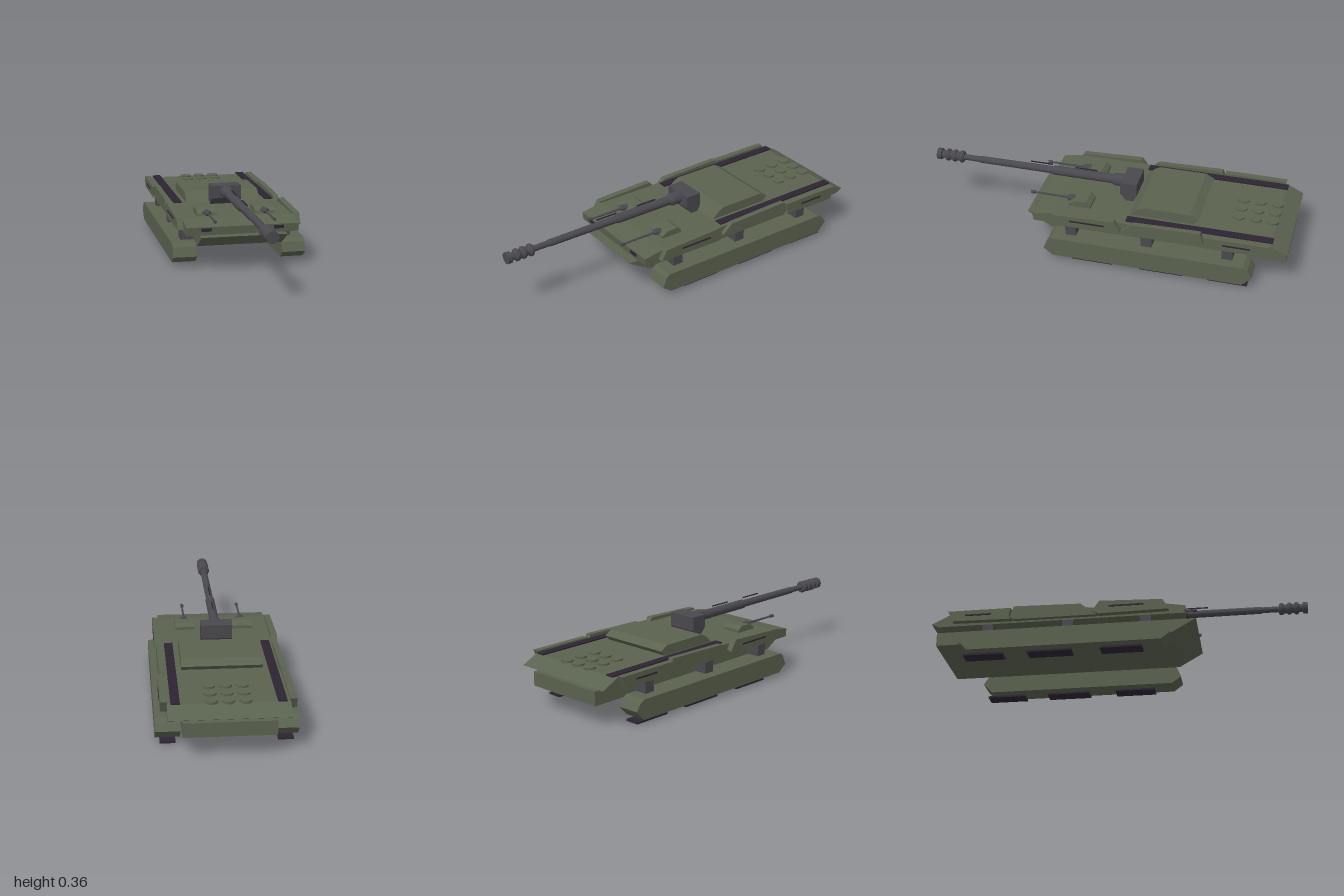
import * as THREE from 'three';

const mat = (color) => new THREE.MeshStandardMaterial({ color, flatShading: true });

export function createModel() {
  const root = new THREE.Group();
  const green = mat(0x5a624f), steel = mat(0x48484e), dark = mat(0x2e2433);

  const add = (name, geo, material, x = 0, y = 0, z = 0) => {
    const m = new THREE.Mesh(geo, material);
    m.name = name;
    m.position.set(x, y, z);
    root.add(m);
    return m;
  };
  // Box given by its limits
  const box = (name, material, x0, x1, y0, y1, z0, z1) =>
    add(name, new THREE.BoxGeometry(x1 - x0, y1 - y0, z1 - z0), material,
      (x0 + x1) / 2, (y0 + y1) / 2, (z0 + z1) / 2);
  // Side profile of [z, y] points, extruded from x0 to x1
  const slab = (name, material, x0, x1, pts) => {
    const shape = new THREE.Shape(pts.map(([z, y]) => new THREE.Vector2(z, y)));
    const geo = new THREE.ExtrudeGeometry(shape, { depth: x1 - x0, bevelEnabled: false });
    geo.rotateY(-Math.PI / 2).translate(x1, 0, 0);
    return add(name, geo, material);
  };
  // Turned part along z from [radius, z] points
  const turned = (name, material, pts, x, y, sides = 24) => {
    const geo = new THREE.LatheGeometry(pts.map(([r, z]) => new THREE.Vector2(r, z)), sides);
    geo.rotateX(Math.PI / 2);
    return add(name, geo, material, x, y, 0);
  };
  // Same part on both sides
  const bothSides = (name, material, x0, x1, pts) => {
    slab(name + 'Left', material, x0, x1, pts);
    slab(name + 'Right', material, -x1, -x0, pts);
  };
  const bothBoxes = (name, material, x0, x1, ...rest) => {
    box(name + 'Left', material, x0, x1, ...rest);
    box(name + 'Right', material, -x1, -x0, ...rest);
  };

  // Hull
  slab('lowerHull', green, -0.228, 0.228,
    [[0.28, 0.115], [0.41, 0.19], [-0.99, 0.19], [-0.99, 0.115]]);
  slab('upperHull', green, -0.298, 0.298,
    [[0.355, 0.19], [0.36, 0.233], [0.24, 0.253], [-0.91, 0.253], [-1, 0.21], [-0.96, 0.19]]);
  slab('rearHump', green, -0.207, 0.207,
    [[-0.145, 0.25], [-0.19, 0.29], [-0.22, 0.305], [-0.475, 0.305], [-0.52, 0.28], [-0.49, 0.25]]);
  bothBoxes('deckStrip', dark, 0.235, 0.28, 0.256, 0.263, -0.92, -0.145);
  bothBoxes('headlight', dark, 0.165, 0.218, 0.21, 0.227, 0.34, 0.364);

  // Missile hatches
  for (const x of [-0.083, 0, 0.083])
    for (const z of [-0.89, -0.8, -0.71])
      add('hatch', new THREE.CylinderGeometry(0.031, 0.031, 0.014, 24), green, x, 0.256, z);

  // Side armour
  bothSides('frontArmour', green, 0.296, 0.33,
    [[0.275, 0.205], [0.245, 0.262], [-0.09, 0.274], [-0.13, 0.215], [-0.09, 0.2]]);
  bothSides('middleArmour', green, 0.292, 0.322,
    [[-0.1, 0.2], [-0.14, 0.225], [-0.19, 0.268], [-0.55, 0.276], [-0.57, 0.215], [-0.55, 0.2]]);
  bothSides('rearArmour', green, 0.296, 0.33,
    [[-0.56, 0.2], [-0.575, 0.215], [-0.565, 0.264], [-0.905, 0.264], [-0.88, 0.205]]);
  bothBoxes('frontArmourSlot', dark, 0.326, 0.333, 0.236, 0.244, -0.04, 0.145);
  bothBoxes('rearArmourSlot', dark, 0.326, 0.333, 0.231, 0.239, -0.81, -0.67);

  // Track pods, mounts and ground pads
  bothSides('trackPod', green, 0.23, 0.355,
    [[0.235, 0.023], [0.285, 0.06], [0.265, 0.11], [0.245, 0.128],
      [-0.785, 0.128], [-0.81, 0.112], [-0.835, 0.075], [-0.785, 0.023]]);
  for (const z of [0.15, -0.262, -0.692])
    bothBoxes('podMount', steel, 0.22, 0.298, 0.12, 0.19, z - 0.029, z + 0.029);
  for (const [z0, z1] of [[-0.085, 0.135], [-0.47, -0.235], [-0.81, -0.6]])
    bothBoxes('groundPad', dark, 0.253, 0.331, 0, 0.01, z0, z1);

  // Main gun
  slab('gunMount', steel, -0.083, 0.083,
    [[-0.065, 0.358], [-0.155, 0.358], [-0.155, 0.285], [-0.135, 0.25], [-0.1, 0.25], [-0.065, 0.29]]);
  const barrel = [[0, -0.08], [0.034, -0.08], [0.034, -0.02], [0.025, 0], [0.025, 0.33],
    [0.02, 0.335], [0.019, 0.75], [0.016, 0.755], [0.016, 0.845]];
  for (const z of [0.845, 0.887, 0.925])
    barrel.push([0.025, z], [0.033, z + 0.008], [0.033, z + 0.02], [0.025, z + 0.028]);
  barrel.push([0.021, 0.955], [0.021, 0.972], [0.031, 0.975], [0.031, 1], [0, 1]);
  turned('gunBarrel', steel, barrel, 0, 0.324);
  box('rearSightRail', dark, -0.003, 0.003, 0.357, 0.362, 0.085, 0.205);
  box('frontSightRail', dark, -0.003, 0.003, 0.357, 0.362, 0.335, 0.46);

  // Small gun turrets on the front deck
  bothSides('smallTurret', green, 0.103, 0.21,
    [[0.19, 0.242], [0.185, 0.268], [0.15, 0.285], [0.09, 0.287], [0.065, 0.268], [0.065, 0.242]]);
  for (const x of [-0.156, 0.156]) {
    box('smallGunCradle', steel, x - 0.022, x + 0.022, 0.264, 0.276, 0.165, 0.195);
    turned('smallGun', steel,
      [[0, 0.16], [0.015, 0.16], [0.015, 0.2], [0.006, 0.21], [0.005, 0.385],
        [0.009, 0.388], [0.009, 0.41], [0, 0.41]], x, 0.27, 12);
  }
  return root;
}
